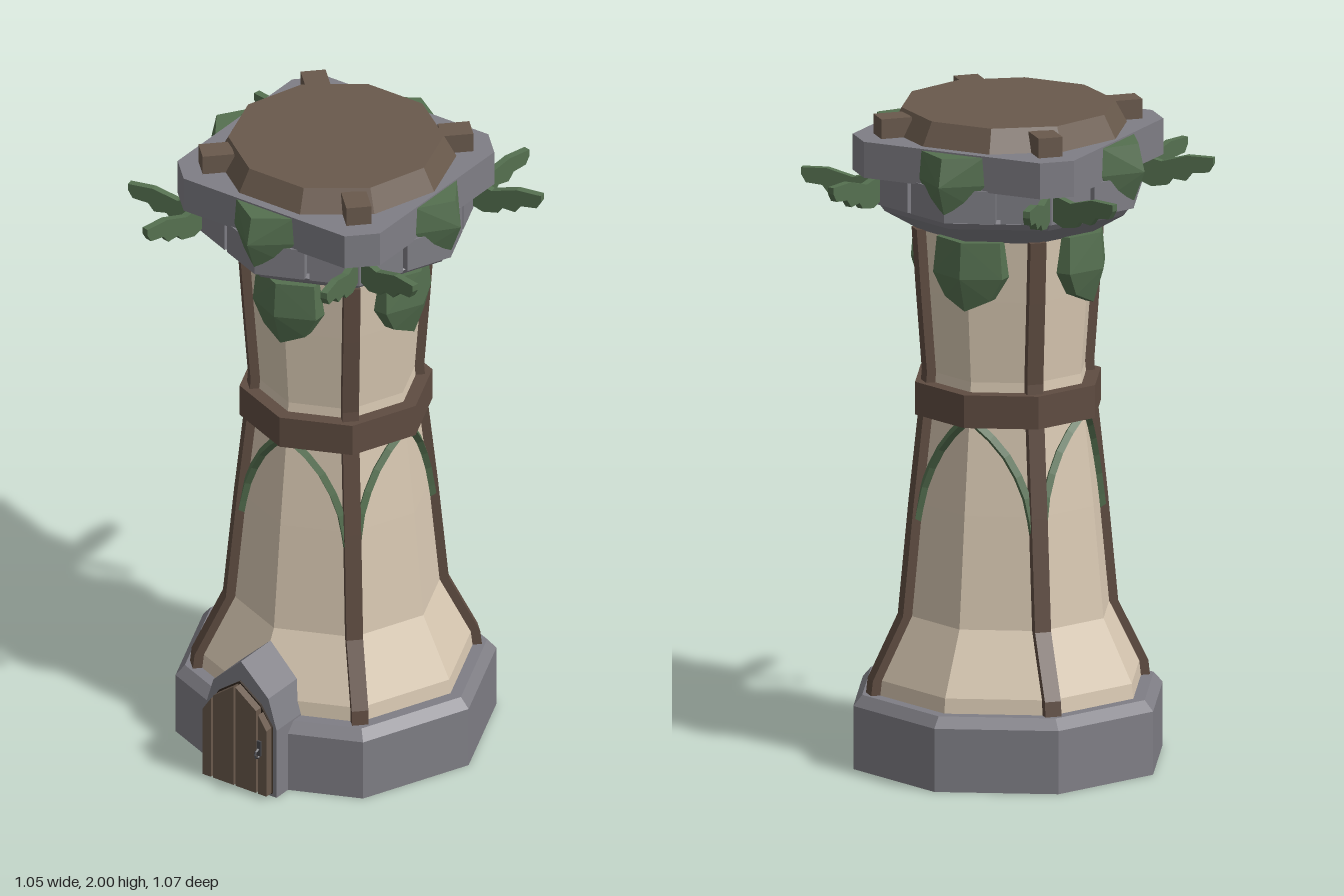
import * as THREE from 'three';
import { ConvexGeometry } from 'three/addons/geometries/ConvexGeometry.js';

const mat = (name, color, side = THREE.FrontSide) => {
  const m = new THREE.MeshStandardMaterial({ color, flatShading: true, side });
  m.name = name;
  return m;
};

export function createModel() {
  const plaster = mat('cream plaster', 0xd8c8b2, THREE.DoubleSide);
  const stone = mat('grey stone', 0x7f7e85);
  const wood = mat('brown wood', 0x69594c);
  const beam = mat('dark beam wood', 0x5f4c41);
  const gap = mat('door shadow gap', 0x33281f);
  const leaf = mat('leaf green', 0x557050);
  const iron = mat('dark iron', 0x4a4a4e);

  const model = new THREE.Group();
  const tower = new THREE.Group();
  tower.name = 'tower';
  tower.position.z = -0.015;
  model.add(tower);

  const add = (name, geo, material, parent = tower) => {
    const m = new THREE.Mesh(geo, material);
    m.name = name;
    parent.add(m);
    return m;
  };
  const v2 = (pts) => pts.map(([x, y]) => new THREE.Vector2(x, y));
  const lathe = (pts) => new THREE.LatheGeometry(v2(pts), 8);
  const extrude = (pts, depth) =>
    new THREE.ExtrudeGeometry(new THREE.Shape(v2(pts)), { depth, bevelEnabled: false });
  // plan outline (x, z) raised from y0 to y1
  const slab = (pts, y0, y1) => extrude(pts, y1 - y0).rotateX(-Math.PI / 2).translate(0, y0, 0);

  // Walls: octagon with corners on the axes
  const wall = [[0.42, 0.2], [0.412, 0.27], [0.318, 0.46], [0.285, 0.8], [0.255, 1.07],
    [0.243, 1.2], [0.262, 1.45], [0.275, 1.64]];
  const wallRadius = (y) => {
    const i = Math.max(1, wall.findIndex((p) => p[1] >= y));
    const [r0, y0] = wall[i - 1], [r1, y1] = wall[i];
    return r0 + (r1 - r0) * (y - y0) / (y1 - y0);
  };
  add('walls', lathe(wall), plaster);

  // Hollow stone footing
  add('footing', lathe([[0.415, 0], [0.483, 0], [0.483, 0.193], [0.455, 0.225], [0.405, 0.225], [0.415, 0]]), stone);

  // Crossing timber frames, their edges showing as ribs on the diagonals
  const ribEdge = wall.map(([r, y]) => [r + 0.018, y]);
  const ribOutline = [...ribEdge, ...ribEdge.map(([r, y]) => [-r, y]).reverse()];
  for (const a of [Math.PI / 4, -Math.PI / 4]) {
    add('timberRibs', extrude(ribOutline, 0.05).translate(0, 0, -0.025).rotateY(a), beam);
  }

  // Timber belt
  add('belt', lathe([[0.24, 1.07], [0.29, 1.07], [0.29, 1.17], [0.24, 1.17]]), beam);

  // Vines under the belt, one on each wall face
  const vinePath = [[0.08, 1.08], [0.5, 1.0], [0.83, 0.87], [0.95, 0.72]];
  for (let i = 0; i < 8; i++) {
    const dir = i % 2 ? -1 : 1;
    const a0 = Math.floor(i / 2) * Math.PI / 2, a1 = a0 + dir * Math.PI / 4;
    const pts = vinePath.map(([u, y]) => {
      const r = wallRadius(y) + 0.004;
      return new THREE.Vector3(
        r * (Math.sin(a0) * (1 - u) + Math.sin(a1) * u), y,
        r * (Math.cos(a0) * (1 - u) + Math.cos(a1) * u));
    });
    add('vine', new THREE.TubeGeometry(new THREE.CatmullRomCurve3(pts), 6, 0.015, 4), leaf);
  }

  // Crown: flared corbel, ring of stone blocks and chamfered square parapet
  add('corbel', lathe([[0.24, 1.62], [0.25, 1.62], [0.385, 1.70], [0.4, 1.72], [0.385, 1.73],
    [0.385, 1.83], [0, 1.83]]), stone);
  const half = Math.PI / 8;
  for (let i = 0; i < 8; i++) {
    const a = i * Math.PI / 4, s = half * 0.95;
    const at = (t, r) => [Math.cos(a + t) * r, Math.sin(a + t) * r];
    const side = 0.418 * Math.cos(half) / Math.cos(half - s);
    add('crownBlock', slab([at(-s, 0.32), at(-s, side), at(0, 0.418), at(s, side), at(s, 0.32)], 1.725, 1.825), stone);
  }
  const p = 0.368, q = 0.293;
  add('parapet', slab([[p, -q], [p, q], [q, p], [-q, p], [-p, q], [-p, -q], [-q, -p], [q, -p]], 1.82, 1.93), stone);

  // Ten-sided roof deck
  add('roofDeck', new THREE.CylinderGeometry(0.32, 0.363, 0.08, 10, 1, false, Math.PI / 2)
    .translate(0, 1.96, 0), wood);

  // Ridged leaf shields: mirrored rim points plus a raised centre ridge
  const ridged = (rim, ridge) => {
    const pts = ridge.map((c) => new THREE.Vector3(...c));
    for (const [x, y, z, back] of rim) {
      for (const s of [-1, 1]) {
        pts.push(new THREE.Vector3(s * x, y, z), new THREE.Vector3(s * x, y, back));
      }
    }
    return new ConvexGeometry(pts);
  };
  const upperLeaf = ridged(
    [[0.105, 1.925, 0.365, 0.33], [0.112, 1.84, 0.365, 0.33], [0.06, 1.785, 0.39, 0.33]],
    [[0, 1.925, 0.435], [0, 1.84, 0.455], [0, 1.75, 0.42], [0, 1.75, 0.35]]);
  const lowerLeaf = ridged(
    [[0.105, 1.64, 0.26, 0.2], [0.115, 1.53, 0.265, 0.2], [0.075, 1.46, 0.265, 0.21]],
    [[0, 1.64, 0.31], [0, 1.53, 0.318], [0, 1.425, 0.285], [0, 1.425, 0.24]]);

  // Feathered leaf sprays, in pairs on each corner
  const spray = [[-0.03, 1.76], [0.06, 1.722], [0.11, 1.73], [0.125, 1.75], [0.165, 1.745], [0.185, 1.77],
    [0.235, 1.775], [0.25, 1.8], [0.25, 1.82], [0.17, 1.822], [0.09, 1.8], [0.03, 1.815], [-0.03, 1.815]];
  const sprayGeo = extrude(spray, 0.022).translate(0, 0, -0.011);

  for (let i = 0; i < 4; i++) {
    const a = i * Math.PI / 2;
    add('upperLeafShield', upperLeaf, leaf).rotation.y = a;
    add('lowerLeafShield', lowerLeaf, leaf).rotation.y = a;
    const corner = new THREE.Group();
    corner.name = 'crownCorner';
    corner.rotation.y = a + Math.PI / 4;
    tower.add(corner);
    add('roofBlock', new THREE.BoxGeometry(0.075, 0.07, 0.095), wood, corner).position.set(0, 1.955, 0.36);
    for (const s of [-1, 1]) {
      const m = add('leafSpray', sprayGeo, leaf, corner);
      m.position.z = 0.39;
      m.rotation.y = -Math.PI / 2 + s * 0.585;
    }
  }

  // Door: stone surround, dark backing and arched planks
  const door = new THREE.Group();
  door.name = 'door';
  tower.add(door);
  const arch = (w, low, sx, sy, top, y0 = 0) =>
    [[-w, y0], [w, y0], [w, low], [sx, sy], [0, top], [-sx, sy], [-w, low]];
  add('doorSurround', extrude(arch(0.13, 0.23, 0.1, 0.33, 0.425), 0.16).translate(0, 0, 0.327), stone, door);
  add('doorBacking', extrude(arch(0.117, 0.24, 0.075, 0.305, 0.36, 0.012), 0.008).translate(0, 0, 0.486), gap, door);
  const archHeight = (x) => {
    const t = Math.abs(x);
    return t < 0.075 ? 0.355 - t * 0.72 : 0.301 - (t - 0.075) * 1.5;
  };
  for (const [a, b] of [[-0.116, -0.086], [-0.078, -0.003], [0.003, 0.078], [0.086, 0.116]]) {
    const outline = [[a, 0.015], [b, 0.015], [b, archHeight(b)], [a, archHeight(a)]];
    add('doorPlank', extrude(outline, 0.033).translate(0, 0, 0.487), wood, door);
  }
  add('handlePlate', new THREE.BoxGeometry(0.014, 0.05, 0.008), iron, door).position.set(0.092, 0.175, 0.523);
  const ring = add('handleRing', new THREE.TorusGeometry(0.014, 0.004, 4, 8), iron, door);
  ring.position.set(0.092, 0.16, 0.53);
  ring.rotation.y = Math.PI / 2;

  return model;
}
